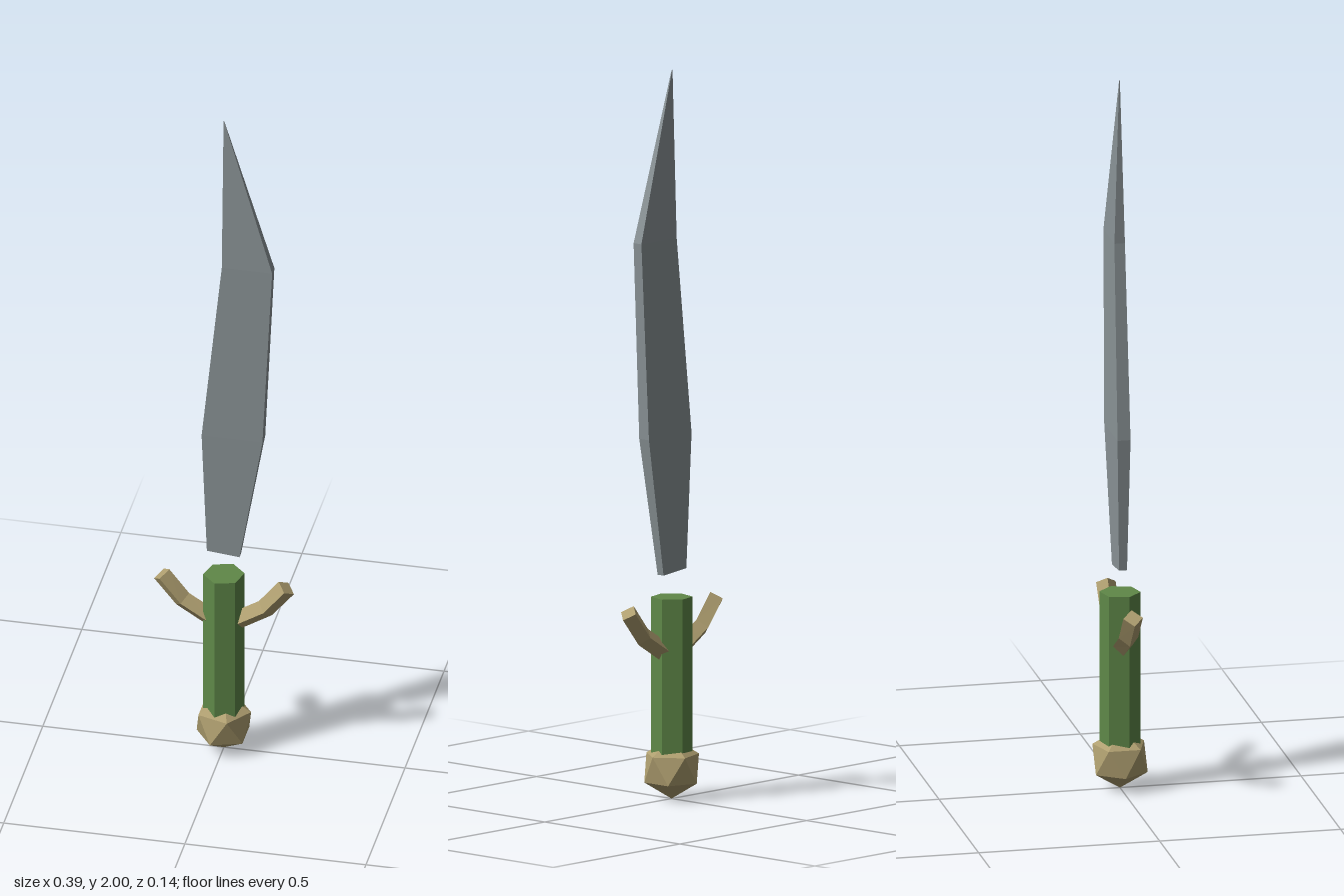
import * as THREE from 'three';

const steel = new THREE.MeshStandardMaterial({ color: 0x8a9396, flatShading: true });
steel.name = 'steel';
const green = new THREE.MeshStandardMaterial({ color: 0x5f8848, flatShading: true });
green.name = 'greenGrip';
const tan = new THREE.MeshStandardMaterial({ color: 0xaf9f70, flatShading: true });
tan.name = 'tanBone';

// Skins a list of equal rings (counter-clockwise about the direction of travel) and caps both ends
function loft(rings) {
  const pos = [];
  const quad = (a, b, c, d) => [a, b, c, a, c, d].forEach((p) => pos.push(...p));
  for (let r = 0; r < rings.length - 1; r++) {
    for (let i = 0; i < 4; i++) {
      const j = (i + 1) % 4;
      quad(rings[r][i], rings[r][j], rings[r + 1][j], rings[r + 1][i]);
    }
  }
  quad(...[...rings[0]].reverse());
  quad(...rings[rings.length - 1]);
  const geo = new THREE.BufferGeometry();
  geo.setAttribute('position', new THREE.Float32BufferAttribute(pos, 3));
  geo.computeVertexNormals();
  return geo;
}

function part(name, geometry, material, parent) {
  const mesh = new THREE.Mesh(geometry, material);
  mesh.name = name;
  parent.add(mesh);
  return mesh;
}

export function createModel() {
  const group = new THREE.Group();
  group.name = 'dagger';

  // Blade: rectangular sections [xLeft, yLeft, xRight, yRight, half thickness]
  const blade = [
    [-0.045, 0.629, 0.045, 0.62, 0.011],
    [-0.058, 1.0, 0.11, 1.0, 0.018],
    [-0.003, 1.54, 0.136, 1.54, 0.0145],
    [-0.001, 2.0, 0.001, 1.998, 0.001],
  ].map(([xl, yl, xr, yr, t]) => [[xr, yr, t], [xr, yr, -t], [xl, yl, -t], [xl, yl, t]]);
  part('blade', loft(blade), steel, group).position.z = -0.0015;

  // Six-sided grip
  const grip = new THREE.CylinderGeometry(0.056, 0.056, 0.455, 6, 1, false, Math.PI / 4);
  part('grip', grip, green, group).position.y = 0.328;

  // Faceted pommel, standing on one corner
  const pommel = new THREE.IcosahedronGeometry(0.084, 0);
  pommel.rotateZ(-Math.atan(2 / (1 + Math.sqrt(5))));
  part('pommel', pommel, tan, group).position.y = 0.086;

  // Bent guard prongs with a diamond section: [x, y, normal x, normal y]
  const r = 0.027;
  const prong = loft([
    [0.03, 0.408, -0.52, 0.85],
    [0.114, 0.46, -0.66, 0.75],
    [0.172, 0.532, -0.78, 0.63],
  ].map(([x, y, nx, ny]) => [
    [x + nx * r, y + ny * r, 0], [x, y, r],
    [x - nx * r, y - ny * r, 0], [x, y, -r],
  ]));
  part('leftGuard', prong, tan, group).position.z = -0.0015;
  const right = part('rightGuard', prong, tan, group);
  right.rotation.y = Math.PI;
  right.position.z = -0.0015;

  return group;
}
